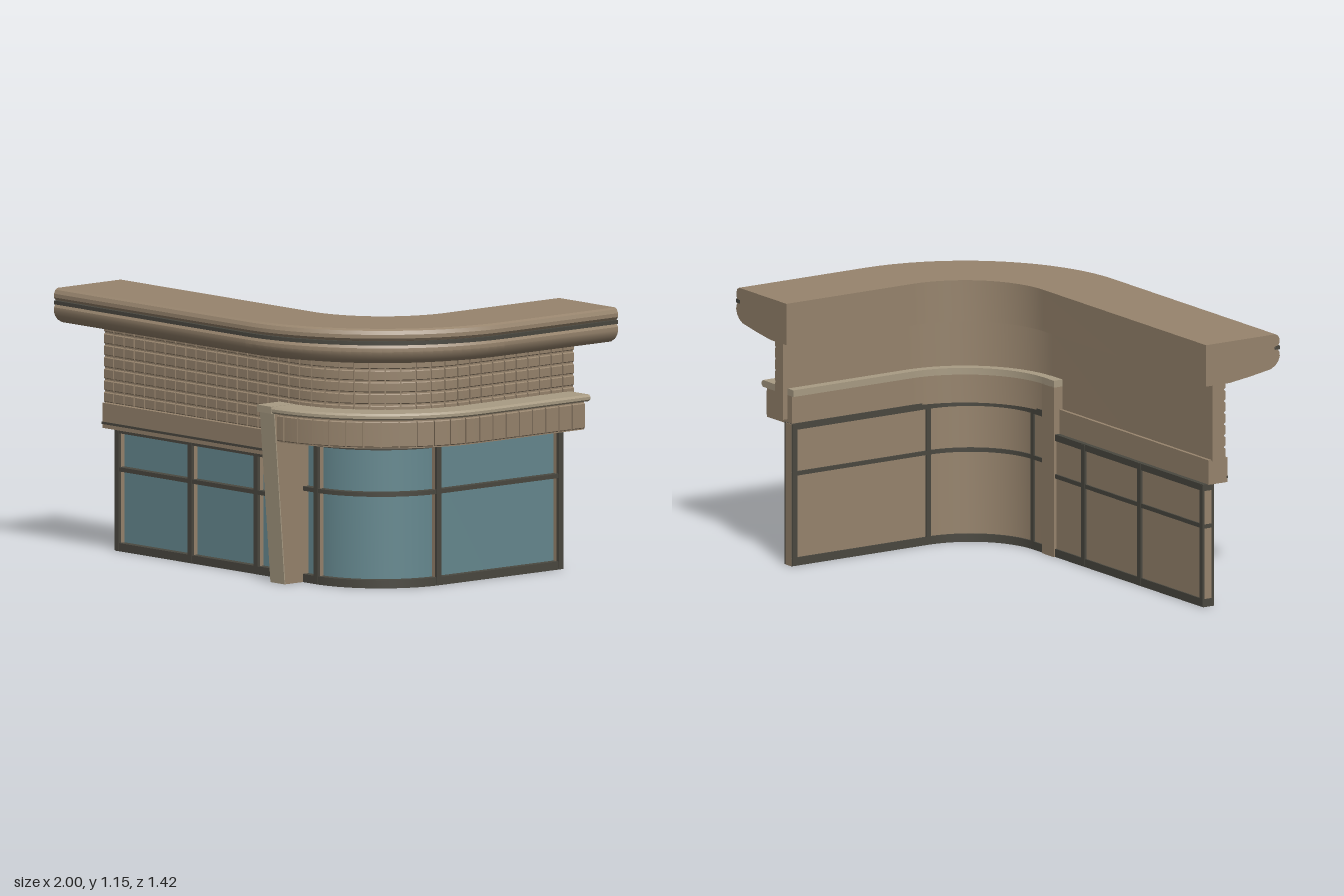
import * as THREE from 'three';
import { mergeGeometries, toCreasedNormals } from 'three/addons/utils/BufferGeometryUtils.js';

const mat = (name, color) => {
  const m = new THREE.MeshStandardMaterial({ color });
  m.name = name;
  return m;
};

// An L-shaped route: straight front run (u < 0), quarter turn, straight side run (u > turn).
const route = (cx, cz, R) => ({ cx, cz, R, turn: R * Math.PI / 2 });
const atX = (p, x) => x - p.cx;
const atZ = (p, z) => p.turn + p.cz - z;

function frameAt(p, u) {
  if (u <= 0) return { x: p.cx + u, z: p.cz, nx: 0, nz: 1 };
  if (u >= p.turn) return { x: p.cx, z: p.cz - (u - p.turn), nx: 1, nz: 0 };
  const a = u / p.R;
  return { x: p.cx, z: p.cz, nx: Math.sin(a), nz: Math.cos(a) };
}

// Sweeps a closed counter-clockwise profile of [distance from centre, height] along a route.
function sweep(p, profile, u0, u1) {
  const stops = [u0];
  const n = 28;
  for (let i = 0; i <= n; i++) {
    const u = p.turn * i / n;
    if (u > u0 + 1e-4 && u < u1 - 1e-4) stops.push(u);
  }
  stops.push(u1);
  const rings = stops.map(u => {
    const f = frameAt(p, u);
    return profile.map(([r, y]) => [f.x + f.nx * r, y, f.z + f.nz * r]);
  });
  const out = [];
  const tri = (a, b, c) => out.push(...a, ...b, ...c);
  for (let s = 0; s < rings.length - 1; s++) {
    const A = rings[s], B = rings[s + 1];
    for (let i = 0; i < A.length; i++) {
      const j = (i + 1) % A.length;
      tri(A[i], B[i], A[j]);
      tri(A[j], B[i], B[j]);
    }
  }
  const caps = THREE.ShapeUtils.triangulateShape(profile.map(q => new THREE.Vector2(...q)), []);
  const first = rings[0], last = rings[rings.length - 1];
  for (const [a, b, c] of caps) {
    tri(first[a], first[b], first[c]);
    tri(last[a], last[c], last[b]);
  }
  const g = new THREE.BufferGeometry();
  g.setAttribute('position', new THREE.Float32BufferAttribute(out, 3));
  return toCreasedNormals(g, 0.4);
}

const rect = (r0, r1, y0, y1) => [[r0, y0], [r1, y0], [r1, y1], [r0, y1]];

// Grid of softly chamfered tiles standing proud of a core wall.
function tiles(p, r, u0, u1, pitch, rows, gap) {
  const parts = [];
  const n = Math.round((u1 - u0) / pitch), w = (u1 - u0) / n;
  for (const [y0, y1] of rows) {
    const a = y0 + gap / 2, b = y1 - gap / 2, c = 0.004;
    const profile = [[r - 0.015, a], [r - c, a], [r, a + c], [r, b - c], [r - c, b], [r - 0.015, b]];
    for (let i = 0; i < n; i++) {
      parts.push(sweep(p, profile, u0 + i * w + gap / 2, u0 + (i + 1) * w - gap / 2));
    }
  }
  return mergeGeometries(parts);
}

export function createModel() {
  const brown = mat('brown masonry', 0x97846d);
  const dark = mat('dark frame', 0x4a4840);
  const glass = mat('blue glass', 0x668990);
  const trim = mat('pale trim', 0xa99c84);

  const model = new THREE.Group();
  model.name = 'cornerShopfront';
  const add = (name, geometry, material, parent = model) => {
    const m = new THREE.Mesh(geometry, material);
    m.name = name;
    parent.add(m);
    return m;
  };

  // Roof with two rounded lips and a dark band between them
  const roof = route(0.22, -0.07, 0.77);
  const r0 = atX(roof, -1), r1 = atZ(roof, -0.71);
  add('roof', sweep(roof, [
    [0.4, 0.967], [0.52, 0.967], [0.62, 0.98], [0.73, 0.998], [0.755, 1.012], [0.77, 1.03], [0.777, 1.05],
    [0.776, 1.066], [0.768, 1.078], [0.755, 1.08], [0.755, 1.094], [0.768, 1.097], [0.776, 1.108],
    [0.776, 1.124], [0.768, 1.14], [0.755, 1.147], [0.4, 1.147],
  ], r0, r1), brown);
  add('roofBand', sweep(roof, rect(0.75, 0.777, 1.079, 1.095), r0, r1), dark);

  // Tiled upper wall, set back from the inner roof edge
  const wall = route(0.22, -0.07, 0.51);
  const w0 = atX(wall, -0.98), w1 = atZ(wall, -0.695);
  const rows = [];
  for (let y = 0.635; y < 0.96; y += 0.05) rows.push([y, Math.min(y + 0.05, 0.975)]);
  add('upperWall', sweep(wall, rect(0.447, 0.506, 0.632, 0.975), w0, w1), brown);
  add('upperTiles', tiles(wall, 0.515, w0, w1, 0.065, rows, 0.007), brown);

  // Lintel band over the front windows
  const b0 = atX(wall, -0.97), b1 = atX(wall, 0.18);
  add('lintelBand', sweep(wall, rect(0.432, 0.53, 0.53, 0.637), b0, b1), brown);
  add('lintelLine', sweep(wall, rect(0.525, 0.533, 0.547, 0.557), b0, b1), dark);

  // Canopy around the corner, tiled edge under a pale coping
  const canopy = route(0.22, -0.07, 0.6);
  const c0 = atX(canopy, 0.2), c1 = atZ(canopy, -0.672);
  add('canopyBody', sweep(canopy, rect(0.415, 0.602, 0.612, 0.736), c0, c1), brown);
  add('canopyTiles', tiles(canopy, 0.611, c0, c1, 0.075, [[0.614, 0.73]], 0.007), brown);
  add('canopyCoping', sweep(canopy, [
    [0.405, 0.736], [0.632, 0.736], [0.642, 0.744], [0.642, 0.756], [0.634, 0.765], [0.405, 0.765],
  ], atX(canopy, 0.145), c1), trim);

  // Windows: glass and backing panel behind dark rails and mullions
  const win = route(0.31, 0.02, 0.375);
  function windows(name, u0, u1, top, mid, posts) {
    const g = new THREE.Group();
    g.name = name;
    model.add(g);
    add('glass', sweep(win, rect(0.335, 0.342, 0.02, top - 0.01), u0 + 0.004, u1 - 0.004), glass, g);
    add('backPanel', sweep(win, rect(0.327, 0.335, 0.02, top - 0.01), u0 + 0.004, u1 - 0.004), brown, g);
    const rails = [[0, 0.035], [mid - 0.009, mid + 0.009], [top - 0.028, top]];
    add('rails', mergeGeometries(rails.map(([a, b]) => sweep(win, rect(0.32, 0.375, a, b), u0, u1))), dark, g);
    const h = 0.0125;
    const post = (a, b) => mergeGeometries(posts.map(u => sweep(win, rect(a, b, 0.003, top - 0.003), u - h, u + h)));
    add('mullionFronts', post(0.362, 0.377), dark, g);
    add('mullionCores', post(0.327, 0.362), brown, g);
    add('mullionBacks', post(0.318, 0.327), dark, g);
  }
  const sideEnd = atZ(win, -0.676);
  windows('frontWindows', atX(win, -0.963), atX(win, 0.19), 0.532, 0.35,
    [-0.95, -0.485, -0.065].map(x => atX(win, x)));
  windows('cornerWindows', atX(win, 0.19), sideEnd, 0.618, 0.4,
    [atX(win, 0.319), atZ(win, 0.025), atZ(win, -0.662)]);
  add('sideEndPlate', sweep(win, rect(0.322, 0.362, 0.001, 0.617), sideEnd, sideEnd + 0.003), brown);

  // Tapered column with a pale front face
  const slab = (points, width) => {
    const g = new THREE.ExtrudeGeometry(new THREE.Shape(points.map(q => new THREE.Vector2(...q))),
      { depth: width, bevelEnabled: false });
    return g.rotateY(-Math.PI / 2).translate(0.235, 0, 0);
  };
  add('column', slab([[0.333, 0], [0.493, 0], [0.553, 0.74], [0.333, 0.74]], 0.09), brown);
  add('columnFace', slab([[0.493, 0], [0.498, 0], [0.558, 0.74], [0.553, 0.74]], 0.09), trim);
  const head = new THREE.BoxGeometry(0.09, 0.03, 0.24);
  add('columnHead', head.translate(0.19, 0.751, 0.453), trim);

  return model;
}
